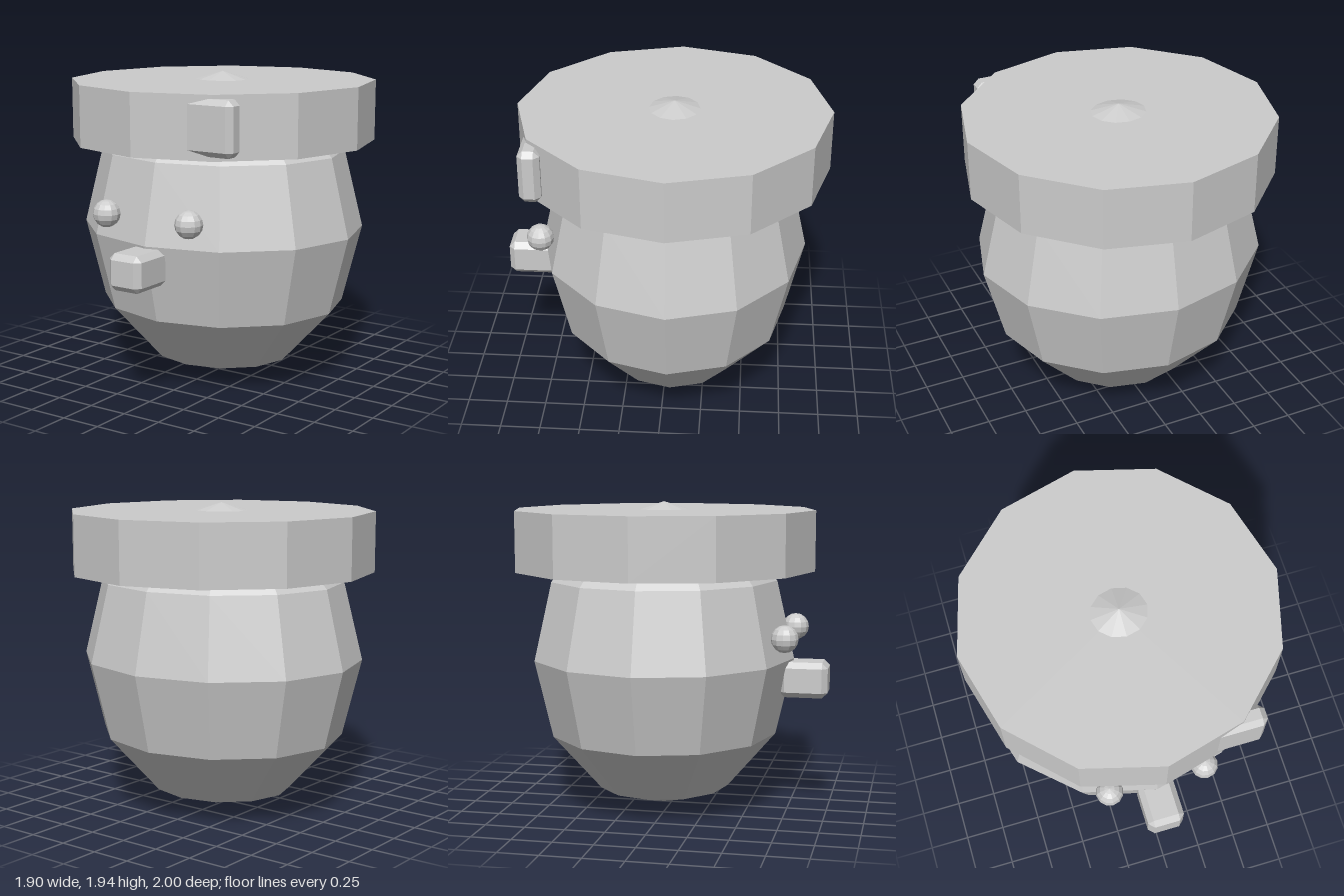
import * as THREE from 'three';
import { ConvexGeometry } from 'three/addons/geometries/ConvexGeometry.js';

const material = new THREE.MeshStandardMaterial({ color: 0xcccccc, flatShading: true });

// Box with a single flat bevel on every edge and corner
function chamferBox(w, h, d, c) {
  const points = [];
  for (const sx of [-1, 1]) for (const sy of [-1, 1]) for (const sz of [-1, 1]) {
    for (let axis = 0; axis < 3; axis++) {
      const inset = [c, c, c];
      inset[axis] = 0;
      points.push(new THREE.Vector3(
        sx * (w / 2 - inset[0]), sy * (h / 2 - inset[1]), sz * (d / 2 - inset[2])));
    }
  }
  return new ConvexGeometry(points);
}

export function createModel() {
  const group = new THREE.Group();
  const add = (name, geometry, x, y, z) => {
    const mesh = new THREE.Mesh(geometry, material);
    mesh.name = name;
    mesh.position.set(x, y, z);
    group.add(mesh);
    return mesh;
  };
  const axisZ = -0.048;

  // Faceted egg-shaped head; its upper pole pokes through the hat
  const head = new THREE.SphereGeometry(1, 12, 6).scale(0.905, 0.968, 0.83);
  add('head', head, 0, 0.968, axisZ);

  // Flat twelve-sided hat
  add('hat', new THREE.CylinderGeometry(0.952, 0.952, 0.375, 12), 0, 1.7, axisZ);

  // Badge partly sunk into the hat's front
  add('hatBadge', chamferBox(0.33, 0.325, 0.13, 0.033), 0.455, 1.702, 0.75);

  // Eyes
  for (const side of [-1, 1]) {
    add(side > 0 ? 'leftEye' : 'rightEye',
      new THREE.SphereGeometry(0.084, 12, 8), side * 0.3, 1.13, 0.757);
  }

  // Block nose
  add('nose', chamferBox(0.23, 0.222, 0.3, 0.035), 0, 0.844, 0.85);

  return group;
}
